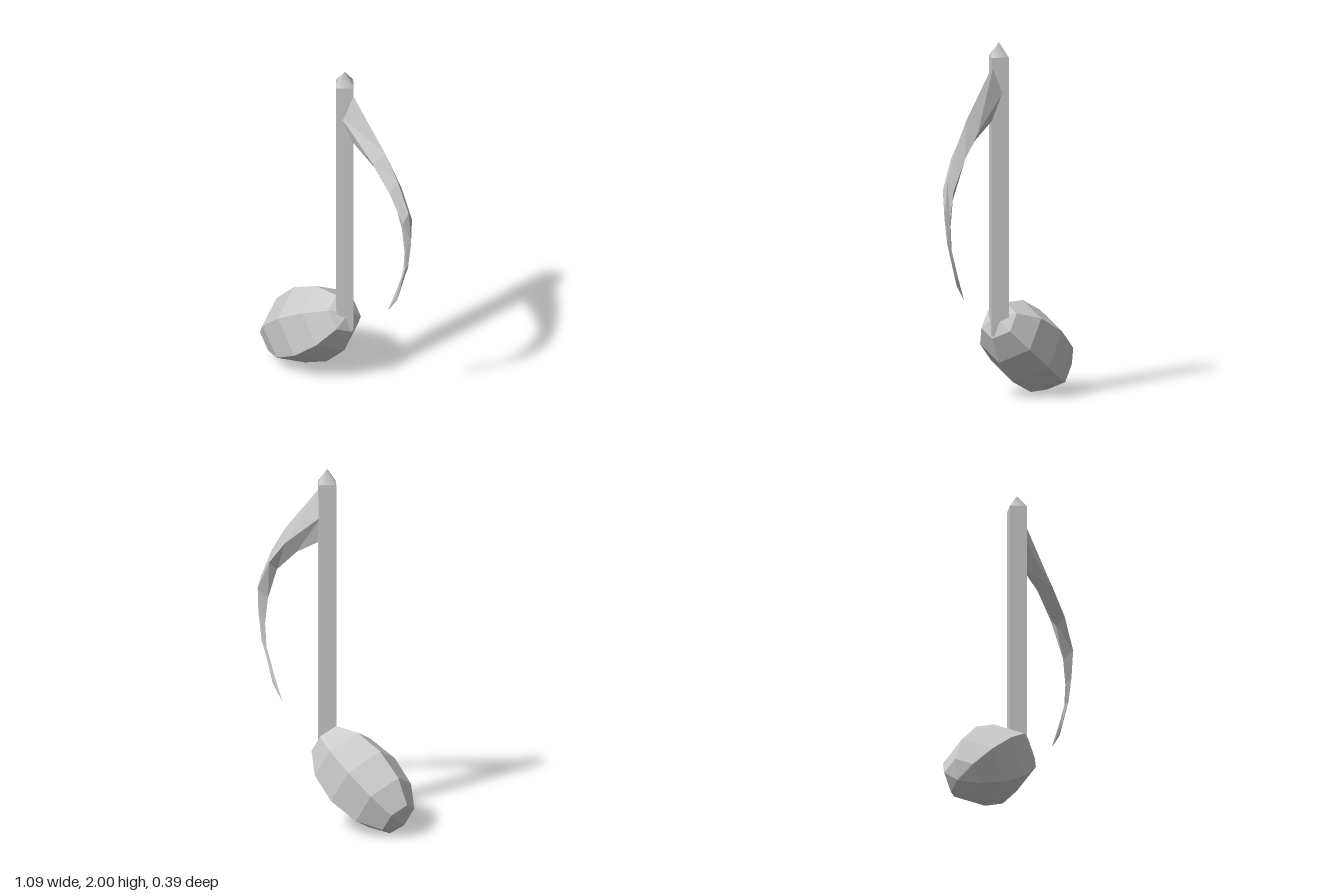
import * as THREE from 'three';

const flat = new THREE.MeshStandardMaterial({ color: 0xcccccc, flatShading: true });
const smooth = new THREE.MeshStandardMaterial({ color: 0xcccccc });

function add(group, name, geometry, material, x, y) {
  const mesh = new THREE.Mesh(geometry, material);
  mesh.name = name;
  mesh.position.set(x, y, 0);
  group.add(mesh);
  return mesh;
}

// Curved flag: diamond cross-sections that shrink to a point.
function flagGeometry() {
  // outer x, y | side ridge x, y, half depth | inner x, y
  const sections = [
    [0.08, 1.893, 0.04, 1.735, 0.042, 0.06, 1.592],
    [0.345, 1.60, 0.30, 1.535, 0.05, 0.262, 1.48],
    [0.44, 1.46, 0.42, 1.40, 0.047, 0.403, 1.355],
    [0.52, 1.295, 0.513, 1.235, 0.036, 0.47, 1.175],
    [0.541, 1.115, 0.52, 1.08, 0.02, 0.49, 1.03],
    [0.52, 0.96, 0.505, 0.93, 0.011, 0.48, 0.90],
    [0.435, 0.70, 0.432, 0.73, 0.006, 0.428, 0.76],
    [0.362, 0.602, 0.362, 0.602, 0, 0.362, 0.602],
  ];
  const positions = [];
  const index = [];
  sections.forEach(([ox, oy, mx, my, d, ix, iy], i) => {
    positions.push(ox, oy, 0, mx, my, d, ix, iy, 0, mx, my, -d);
    if (i === sections.length - 1) return;
    for (let j = 0; j < 4; j++) {
      const a = i * 4 + j;
      const b = i * 4 + (j + 1) % 4;
      index.push(a, b, a + 4);
      if (i < sections.length - 2) index.push(b, b + 4, a + 4);
    }
  });
  const geometry = new THREE.BufferGeometry();
  geometry.setAttribute('position', new THREE.Float32BufferAttribute(positions, 3));
  geometry.setIndex(index);
  geometry.computeVertexNormals();
  return geometry;
}

export function createModel() {
  const note = new THREE.Group();
  note.name = 'musicNote';
  const stemX = 0.036, radius = 0.067, bottom = 0.37, shoulder = 1.92;

  // Tilted, faceted oval head
  const head = add(note, 'noteHead', new THREE.SphereGeometry(1, 6, 6), flat, -0.225, 0.272);
  head.scale.set(0.224, 0.362, 0.224);
  head.rotation.z = -0.974;

  // Four-sided stem with a pointed cap
  const length = shoulder - bottom;
  add(note, 'stem', new THREE.CylinderGeometry(radius, radius, length, 4), flat, stemX, bottom + length / 2);
  add(note, 'stemTip', new THREE.ConeGeometry(radius, 2 - shoulder, 4, 1, true), smooth, stemX, (2 + shoulder) / 2);

  // Flag sweeping out and down from the stem
  add(note, 'flag', flagGeometry(), flat, 0, 0);
  return note;
}
